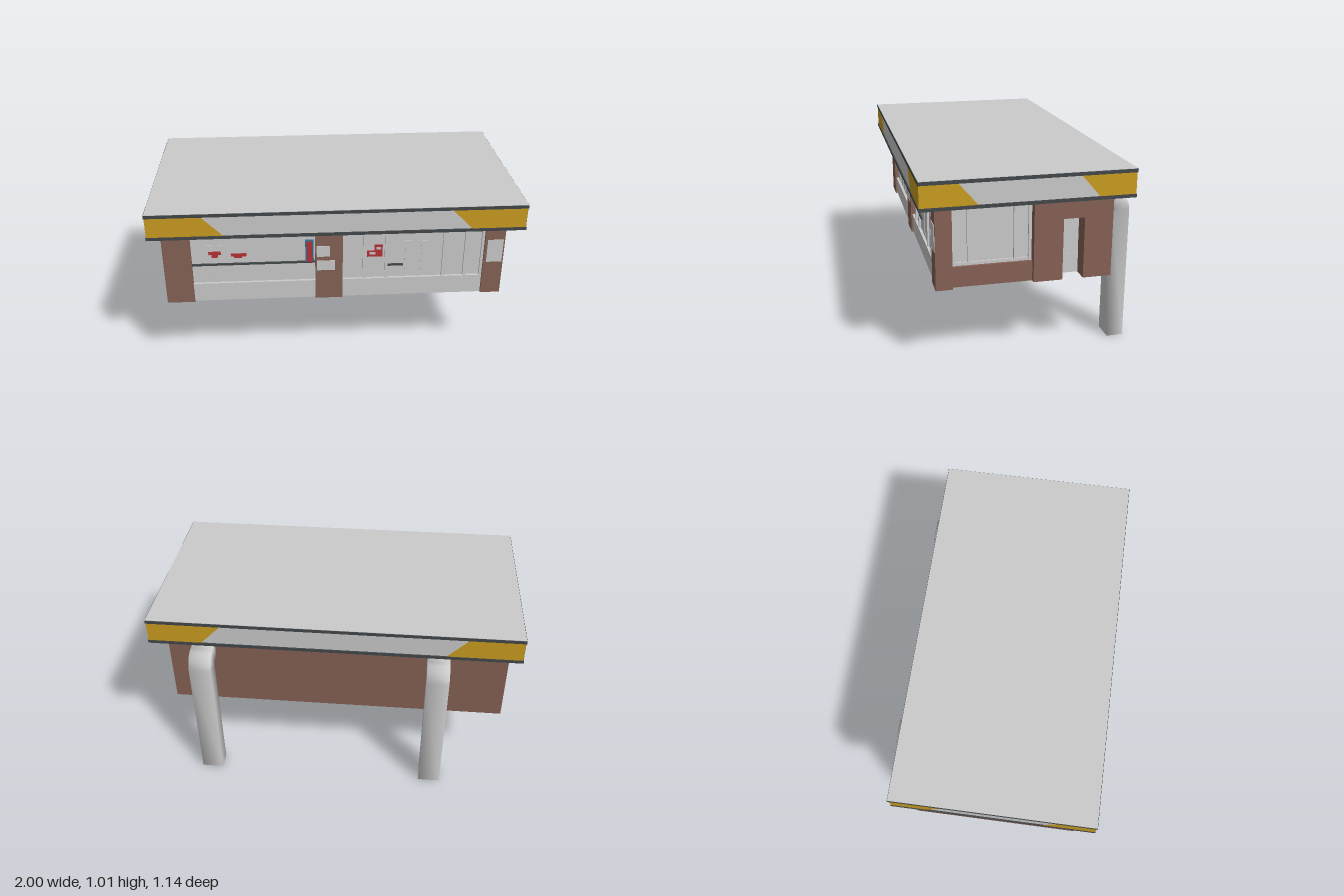
import * as THREE from 'three';

const mat = (color) => new THREE.MeshStandardMaterial({ color, side: THREE.DoubleSide });
const grey = mat(0xcccccc), brown = mat(0x866255), yellow = mat(0xcb9d20);
const dark = mat(0x43484a), red = mat(0xb83236), blue = mat(0x2f6f95), soffit = mat(0x606060);

export function createModel() {
  const model = new THREE.Group();

  const group = (name) => {
    const g = new THREE.Group();
    g.name = name;
    model.add(g);
    return g;
  };
  // box given by its limits on each axis
  const box = (parent, name, m, x0, x1, y0, y1, z0, z1) => {
    const mesh = new THREE.Mesh(new THREE.BoxGeometry(x1 - x0, y1 - y0, z1 - z0), m);
    mesh.position.set((x0 + x1) / 2, (y0 + y1) / 2, (z0 + z1) / 2);
    mesh.name = name;
    parent.add(mesh);
    return mesh;
  };

  // Roof: dark trims above and below a pale fascia
  const roof = group('roof');
  box(roof, 'fascia', grey, -0.994, 0.994, 0.875, 0.995, -0.504, 0.564);
  box(roof, 'topTrim', dark, -1, 1, 0.99, 1.008, -0.51, 0.57);
  box(roof, 'roofSheet', grey, -0.998, 0.998, 1.0, 1.01, -0.508, 0.568);
  box(roof, 'bottomTrim', dark, -1, 1, 0.863, 0.88, -0.51, 0.57);
  box(roof, 'soffit', soffit, -0.995, 0.995, 0.861, 0.87, -0.505, 0.565);

  // Slanted yellow end panels, repeated on opposite sides
  const endPanel = (a, topB, bottomB) => new THREE.ShapeGeometry(new THREE.Shape([
    new THREE.Vector2(a, 0.88), new THREE.Vector2(bottomB, 0.88),
    new THREE.Vector2(topB, 0.99), new THREE.Vector2(a, 0.99),
  ]));
  const addPanel = (geo, x, z, turn) => {
    const p = new THREE.Mesh(geo, yellow);
    p.name = 'yellowFasciaPanel';
    p.position.set(x, 0, z);
    p.rotation.y = turn;
    roof.add(p);
  };
  for (const [a, t, b] of [[-0.996, -0.71, -0.6], [0.996, 0.6, 0.71]])
    for (const z of [0.567, -0.507]) addPanel(endPanel(a, t, b), 0, z, 0);
  for (const [a, t, b] of [[0.567, 0.38, 0.285], [-0.507, -0.225, -0.32]])
    for (const x of [0.997, -0.997]) addPanel(endPanel(a, t, b), x, 0, -Math.PI / 2);

  // Plain back and side walls; the shell is open underneath
  const B = 0.425, T = 0.862;
  const walls = group('walls');
  box(walls, 'backWall', brown, -0.94, 0.92, B, T, -0.425, -0.413);
  box(walls, 'plainSideWall', brown, -0.94, -0.928, B, T, -0.425, 0.485);

  // Front pillars
  for (const [x0, x1, z0] of [[-0.94, -0.79, 0.44], [-0.12, 0.03, 0.41], [0.81, 0.92, 0.4]])
    box(walls, 'frontPillar', brown, x0, x1, B, T, z0, 0.485);

  // Block with the recessed side door
  box(walls, 'doorBlockFront', brown, 0.82, 0.92, B, T, -0.165, -0.013);
  box(walls, 'doorBlockBack', brown, 0.82, 0.92, B, T, -0.425, -0.275);
  box(walls, 'doorLintel', brown, 0.82, 0.92, 0.75, T, -0.275, -0.165);
  box(walls, 'sideDoorLower', grey, 0.82, 0.835, B, 0.53, -0.275, -0.165);
  box(walls, 'sideDoorUpper', grey, 0.82, 0.832, 0.53, 0.75, -0.275, -0.165);

  // Side window over a low wall
  const side = group('sideWindow');
  box(side, 'lowWall', brown, 0.86, 0.895, B, 0.532, -0.013, 0.4);
  box(side, 'glazing', grey, 0.862, 0.87, 0.532, T, -0.013, 0.4);
  for (const z of [0.39, 0.31, 0.073, -0.003])
    box(side, 'mullion', grey, 0.86, 0.882, 0.532, T, z - 0.008, z + 0.008);
  for (const y of [0.54, 0.853])
    box(side, 'frameRail', grey, 0.86, 0.88, y - 0.008, y + 0.008, -0.013, 0.4);

  // Shop front: base, glazing, rails and mullions
  const shop = group('shopFront');
  for (const [x0, x1] of [[-0.79, -0.12], [0.03, 0.81]]) {
    box(shop, 'base', grey, x0, x1, B, 0.53, 0.455, 0.474);
    box(shop, 'glazing', grey, x0, x1, 0.53, T, 0.455, 0.462);
    box(shop, 'sillRail', grey, x0, x1, 0.526, 0.536, 0.445, 0.477);
  }
  box(shop, 'counterRail', dark, -0.79, -0.12, 0.645, 0.655, 0.44, 0.472);
  for (let i = 1; i < 7; i++) {
    const x = -0.79 + i * 0.67 / 7;
    box(shop, 'lowerPanelDivider', grey, x - 0.003, x + 0.003, 0.536, 0.645, 0.46, 0.465);
  }
  for (const x of [0.15, 0.27, 0.59, 0.71, 0.803])
    box(shop, 'mullion', grey, x - 0.008, x + 0.008, 0.53, T, 0.445, 0.473);
  box(shop, 'doorRail', dark, 0.27, 0.365, 0.61, 0.62, 0.455, 0.472);
  for (const x of [0.41, 0.5])
    box(shop, 'innerPane', grey, x - 0.035, x + 0.035, 0.54, 0.76, 0.455, 0.465);

  // Notices and signs: [material, x0, x1, y0, y1, z of the front face]
  const signs = group('signs');
  const notices = [
    [grey, -0.112, -0.04, 0.69, 0.755, 0.488], [grey, -0.112, -0.012, 0.605, 0.665, 0.488],
    [grey, 0.825, 0.912, 0.625, 0.762, 0.488],
    [blue, -0.173, -0.128, 0.645, 0.785, 0.472], [red, -0.165, -0.136, 0.652, 0.778, 0.474],
    [grey, -0.707, -0.62, 0.69, 0.767, 0.466], [red, -0.697, -0.63, 0.71, 0.73, 0.468],
    [red, -0.68, -0.647, 0.693, 0.71, 0.468],
    [red, -0.577, -0.492, 0.695, 0.713, 0.465], [red, -0.56, -0.518, 0.685, 0.695, 0.465],
    [red, 0.165, 0.25, 0.668, 0.705, 0.465], [red, 0.205, 0.25, 0.705, 0.742, 0.465],
    [grey, 0.178, 0.21, 0.682, 0.698, 0.467], [grey, 0.215, 0.24, 0.712, 0.728, 0.467],
  ];
  for (const [m, x0, x1, y0, y1, z] of notices) box(signs, 'notice', m, x0, x1, y0, y1, z - 0.01, z);
  // Poster on the inner face of the corner pillar
  box(signs, 'innerPoster', blue, -0.92, -0.8, 0.53, 0.72, 0.436, 0.445);
  for (const y of [0.55, 0.69]) box(signs, 'innerPosterLabel', red, -0.91, -0.81, y - 0.015, y + 0.015, 0.434, 0.44);

  // Bent rectangular ducts: softly shaded section swept out of the wall and down
  const outer = [[-0.42, 0.82], [-0.48, 0.82]], inner = [[-0.42, 0.73], [-0.462, 0.73]];
  for (let i = 1; i <= 5; i++) {
    const a = (i / 5) * Math.PI / 2;
    outer.push([-0.48 - 0.09 * Math.sin(a), 0.73 + 0.09 * Math.cos(a)]);
    inner.push([-0.462 - 0.018 * Math.sin(a), 0.712 + 0.018 * Math.cos(a)]);
  }
  outer.push([-0.57, 0]);
  inner.push([-0.48, 0]);
  const pos = [], index = [];
  outer.forEach(([zo, yo], i) => {
    const [zi, yi] = inner[i];
    pos.push(-0.06, yo, zo, 0.06, yo, zo, 0.06, yi, zi, -0.06, yi, zi);
    if (i === 0) return;
    for (let k = 0; k < 4; k++) {
      const a = (i - 1) * 4 + k, b = (i - 1) * 4 + (k + 1) % 4;
      index.push(a, b, a + 4, b, b + 4, a + 4);
    }
  });
  const ductGeo = new THREE.BufferGeometry();
  ductGeo.setAttribute('position', new THREE.Float32BufferAttribute(pos, 3));
  ductGeo.setIndex(index);
  ductGeo.computeVertexNormals();
  for (const x of [-0.565, 0.72]) {
    const duct = new THREE.Mesh(ductGeo, grey);
    duct.name = 'supportDuct';
    duct.position.x = x;
    model.add(duct);
  }
  return model;
}
